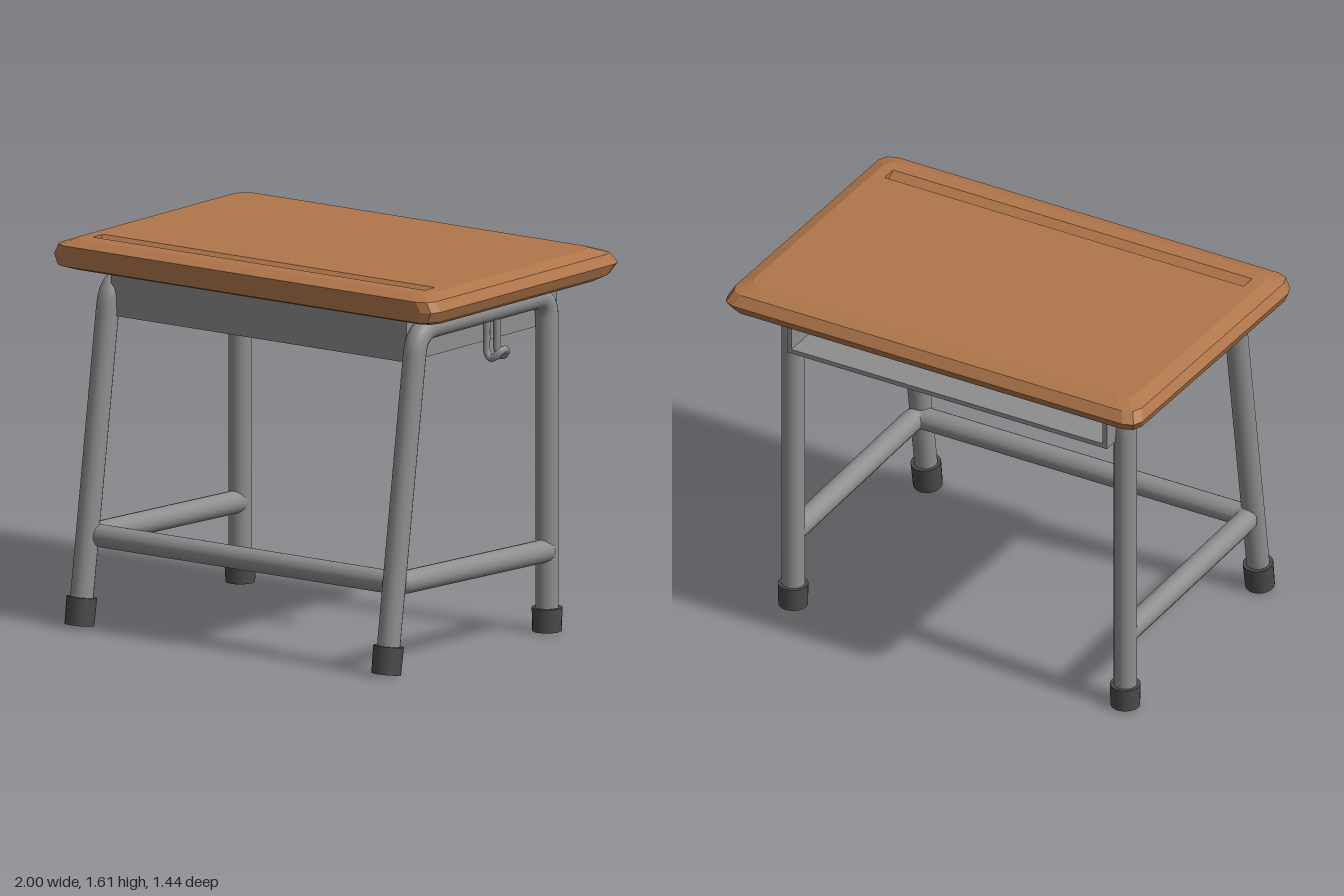
import * as THREE from 'three';
import { mergeGeometries } from 'three/addons/utils/BufferGeometryUtils.js';

const mat = (name, color, extra = {}) => {
  const m = new THREE.MeshStandardMaterial({ color, ...extra });
  m.name = name;
  return m;
};
const V = (x, y, z) => new THREE.Vector3(x, y, z);

// Straight pipe path whose inner points become rounded bends of the given size
function pipe(points, radius, bend, segments, sides = 16) {
  const path = new THREE.CurvePath();
  let from = points[0];
  for (let i = 1; i < points.length - 1; i++) {
    const p = points[i];
    const a = p.clone().add(points[i - 1].clone().sub(p).setLength(bend));
    const b = p.clone().add(points[i + 1].clone().sub(p).setLength(bend));
    path.add(new THREE.LineCurve3(from, a));
    path.add(new THREE.QuadraticBezierCurve3(a, p, b));
    from = b;
  }
  path.add(new THREE.LineCurve3(from, points[points.length - 1]));
  return new THREE.TubeGeometry(path, segments, radius, sides, false);
}

// Rounded rectangle of the desk top as [x, -z] points, inset at sides, front and back
function outline(side, front, back) {
  const r = 0.06, pts = [];
  const right = 1 - side - r, far = 0.72 - back - r, near = -(0.6 - front - r);
  [[right, far], [-right, far], [-right, near], [right, near]].forEach(([cx, cv], k) => {
    for (let j = 0; j < 3; j++) {
      const a = k * Math.PI / 2 + j * Math.PI / 4;
      pts.push(new THREE.Vector2(cx + r * Math.cos(a), cv + r * Math.sin(a)));
    }
  });
  return pts;
}

function facesGeometry(positions) {
  const g = new THREE.BufferGeometry();
  g.setAttribute('position', new THREE.Float32BufferAttribute(positions, 3));
  g.computeVertexNormals();
  return g;
}

function deskTopGeometry() {
  // Height, then inset at sides, front and back
  const layers = [
    [1.49, 0.05, 0.06, 0.09], [1.51, 0.02, 0, 0.03], [1.555, 0, 0, 0],
    [1.598, 0.022, 0, 0.03], [1.62, 0.08, 0.06, 0.09],
  ];
  const rings = layers.map(([y, s, f, b]) => outline(s, f, b).map((p) => [p.x, y, -p.y]));
  const pos = [];
  const quad = (a, b, c, d) => pos.push(...a, ...b, ...c, ...a, ...c, ...d);
  const n = rings[0].length;
  for (let i = 0; i < rings.length - 1; i++) {
    for (let j = 0; j < n; j++) {
      const k = (j + 1) % n;
      quad(rings[i][j], rings[i][k], rings[i + 1][k], rings[i + 1][j]);
    }
  }

  // Pencil groove: a V-shaped trough under a slot in the upper face
  const w = 0.865, z0 = 0.4, zm = 0.433, z1 = 0.47, y = 1.62, d = 1.592;
  quad([-w, d, zm], [w, d, zm], [w, y, z0], [-w, y, z0]);
  quad([-w, y, z1], [w, y, z1], [w, d, zm], [-w, d, zm]);
  pos.push(-w, y, z0, -w, y, z1, -w, d, zm);
  pos.push(w, y, z0, w, d, zm, w, y, z1);

  const upper = new THREE.Shape(outline(0.08, 0.06, 0.09));
  upper.holes.push(new THREE.Path([
    new THREE.Vector2(-w, -z0), new THREE.Vector2(w, -z0),
    new THREE.Vector2(w, -z1), new THREE.Vector2(-w, -z1),
  ]));
  const lower = new THREE.Shape(outline(0.05, 0.06, 0.09).map((p) => new THREE.Vector2(p.x, -p.y)));
  const top = new THREE.ShapeGeometry(upper).rotateX(-Math.PI / 2).translate(0, 1.62, 0);
  const bottom = new THREE.ShapeGeometry(lower).rotateX(Math.PI / 2).translate(0, 1.49, 0);
  const parts = [facesGeometry(pos), top.toNonIndexed(), bottom.toNonIndexed()];
  parts.forEach((g) => g.deleteAttribute('uv'));
  return mergeGeometries(parts);
}

export function createModel() {
  const wood = mat('wood', 0xb0764a);
  const metal = mat('greyMetal', 0x8e8e8e);
  const rubber = mat('darkRubber', 0x4a4a4a);

  const group = new THREE.Group();
  group.name = 'schoolDesk';
  const add = (name, geometry, material, parent = group) => {
    const mesh = new THREE.Mesh(geometry, material);
    mesh.name = name;
    parent.add(mesh);
    return mesh;
  };

  add('deskTop', deskTopGeometry(), wood);

  // Tray under the top, open at the back
  const tray = new THREE.Group();
  tray.name = 'tray';
  group.add(tray);
  const panel = (name, w, h, d, x, y, z) =>
    add(name, new THREE.BoxGeometry(w, h, d).translate(x, y, z), metal, tray);
  panel('trayFloor', 1.54, 0.02, 1.03, 0, 1.31, -0.045);
  panel('trayFront', 1.54, 0.17, 0.02, 0, 1.405, 0.46);
  for (const s of [-1, 1]) panel('traySide', 0.02, 0.17, 1.01, s * 0.76, 1.405, -0.055);

  // Bent pipe frames with rubber feet
  for (const x of [-0.79, 0.81]) {
    const frame = new THREE.Group();
    frame.name = x > 0 ? 'leftFrame' : 'rightFrame';
    group.add(frame);
    const frontFoot = V(x, 0.06, 0.656), rearFoot = V(x, 0.06, -0.443);
    add('legPipe', pipe([frontFoot, V(x, 1.44, 0.452), V(x, 1.44, -0.443), rearFoot],
      0.049, 0.1, 120), metal, frame);
    const front = add('frontFoot', new THREE.CylinderGeometry(0.064, 0.062, 0.117, 20), rubber, frame);
    front.position.set(x, 0.073, 0.654);
    front.rotation.x = -Math.atan2(0.204, 1.38);
    const rear = add('rearFoot', new THREE.CylinderGeometry(0.064, 0.062, 0.1, 20), rubber, frame);
    rear.position.set(x, 0.06, -0.443);
  }

  // U-shaped stretcher joining all four legs
  add('stretcher', pipe([V(-0.79, 0.353, -0.43), V(-0.79, 0.386, 0.58),
    V(0.815, 0.386, 0.58), V(0.815, 0.353, -0.43)], 0.049, 0.05, 150), metal);

  // Wire bag hook: down, outward and over in a loop
  const half = [[0.85, 1.41, 0.035], [0.85, 1.34, 0.035], [0.852, 1.28, 0.035],
    [0.87, 1.256, 0.035], [0.895, 1.265, 0.032], [0.91, 1.285, 0.02]];
  const wire = [
    ...half.map(([x, y, z]) => V(x, y, z - 0.01)),
    V(0.913, 1.292, -0.01),
    ...half.slice().reverse().map(([x, y, z]) => V(x, y, -z - 0.01)),
  ];
  add('bagHook', new THREE.TubeGeometry(new THREE.CatmullRomCurve3(wire), 60, 0.016, 10), metal);

  return group;
}
